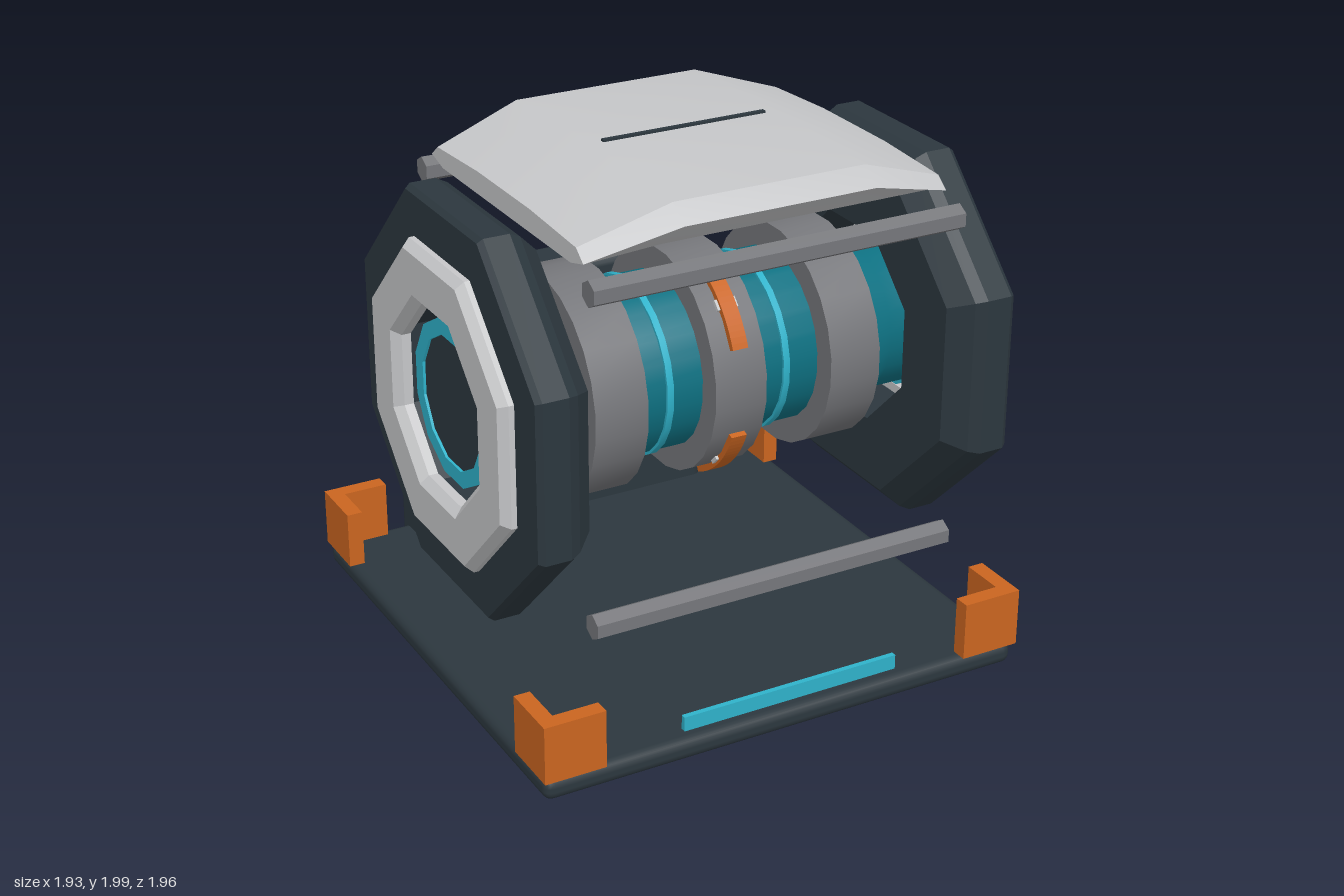
import * as THREE from 'three';
import { toCreasedNormals } from 'three/addons/utils/BufferGeometryUtils.js';
import { RoundedBoxGeometry } from 'three/addons/geometries/RoundedBoxGeometry.js';

const CY = 1.15, CZ = 0.2; // axis of the drum
const OCT = 1 / Math.cos(Math.PI / 8);

function material(name, color) {
  const m = new THREE.MeshStandardMaterial({ color });
  m.name = name;
  return m;
}

export function createModel() {
  const model = new THREE.Group();
  model.name = 'drumMachine';
  const dark = material('darkSlate', 0x2c373e);
  const light = material('lightGrey', 0xc6c7c9);
  const grey = material('midGrey', 0x76777b);
  const teal = material('teal', 0x0e7182);
  const cyan = material('cyan', 0x2fb2ca);
  const orange = material('orange', 0xca6520);

  function add(name, geometry, mat, x = 0, y = 0, z = 0) {
    const mesh = new THREE.Mesh(geometry, mat);
    mesh.name = name;
    mesh.position.set(x, y, z);
    model.add(mesh);
    return mesh;
  }
  const box = (name, mat, w, h, d, x, y, z) => add(name, new THREE.BoxGeometry(w, h, d), mat, x, y, z);

  // Turned part about the x axis; profile holds [radius, distance along x]
  function turned(name, mat, profile, sides, dir = 1, crease = 0.6) {
    const pts = profile.map(([r, x]) => new THREE.Vector2(r, x));
    const g = new THREE.LatheGeometry(pts, sides, Math.PI / sides);
    g.rotateZ(-dir * Math.PI / 2);
    return add(name, toCreasedNormals(g, crease), mat, 0, CY, CZ);
  }
  const octagonal = (name, mat, profile, dir) =>
    turned(name, mat, profile.map(([a, x]) => [a * OCT, x]), 8, dir, 0.3);
  const disc = (r, x0, x1) => [[0, x0], [r, x0], [r, x1], [0, x1]];

  // Base plate and back panel
  add('basePlate', new RoundedBoxGeometry(1.89, 0.085, 1.9, 2, 0.035), dark, 0, 0.0475, 0.02);
  add('backPanel', new RoundedBoxGeometry(1.24, 1.12, 0.23, 2, 0.035), dark, 0, 0.57, -0.865);
  box('frontLightBar', cyan, 0.85, 0.055, 0.02, 0, 0.165, 0.97);

  // L-shaped corner brackets
  for (const sx of [-1, 1]) {
    for (const [zEdge, sz] of [[0.98, 1], [-0.935, -1]]) {
      box('cornerBracketFace', orange, 0.23, 0.22, 0.06, sx * 0.837, 0.2, zEdge - sz * 0.03);
      box('cornerBracketSide', orange, 0.06, 0.22, 0.17, sx * 0.922, 0.2, zEdge - sz * 0.145);
    }
  }

  // Central drum with tapered ends
  turned('drumBody', teal,
    [[0, -0.87], [0.28, -0.87], [0.28, -0.69], [0.318, -0.6], [0.318, 0.6], [0.28, 0.69], [0.28, 0.87], [0, 0.87]], 24);
  for (const x of [-0.46, 0, 0.46]) turned('drumBand', grey, disc(0.41, x - 0.1, x + 0.1), 24);
  for (const x of [-0.23, 0.23]) turned('glowRing', cyan, disc(0.328, x - 0.0125, x + 0.0125), 24);

  // Curved clips on the middle band
  const arc = new THREE.Shape();
  arc.absarc(0, 0, 0.43, -0.393, 0.393, false);
  arc.absarc(0, 0, 0.4, 0.393, -0.393, true);
  const clipGeometry = new THREE.ExtrudeGeometry(arc, { depth: 0.06, bevelEnabled: false, curveSegments: 8 });
  clipGeometry.translate(0, 0, -0.03);
  clipGeometry.rotateY(-Math.PI / 2);
  for (let i = 0; i < 4; i++) {
    const angle = Math.PI / 4 + i * Math.PI / 2;
    const clip = add('bandClip', clipGeometry, orange, 0, CY, CZ);
    clip.rotation.x = -angle;
    const pin = box('clipPin', light, 0.08, 0.04, 0.03, 0, CY + 0.405 * Math.sin(angle), CZ + 0.405 * Math.cos(angle));
    pin.rotation.x = -angle;
  }

  // Octagonal end wheels, trim rings and hubs
  for (const dir of [-1, 1]) {
    octagonal('endWheel', dark,
      [[0.36, 0.69], [0.61, 0.69], [0.68, 0.76], [0.7, 0.8], [0.7, 0.895], [0.685, 0.915], [0.36, 0.915], [0.36, 0.69]], dir);
    octagonal('wheelTrim', light,
      [[0.325, 0.9], [0.535, 0.9], [0.535, 0.935], [0.508, 0.965], [0.357, 0.965], [0.325, 0.935], [0.325, 0.9]], dir);
    turned('hubRing', cyan,
      [[0.24, 0.86], [0.3, 0.86], [0.3, 0.9], [0.24, 0.9], [0.24, 0.86]], 12, dir, 0.3);
    turned('hubCap', dark, disc(0.242, 0.86, 0.89), 12, dir, 0.3);
  }

  // Hexagonal tie rods
  for (const y of [0.55, 1.75]) {
    for (const z of [0.84, -0.44]) {
      const g = new THREE.CylinderGeometry(0.047, 0.047, 1.4, 6);
      g.rotateY(Math.PI / 2);
      g.rotateZ(Math.PI / 2);
      add('tieRod', toCreasedNormals(g, 0.3), grey, 0, y, z);
    }
  }

  // Arched top cover lofted along x: [x, bottom half depth, tip half depth, tip y, top half depth, top edge y, crown y]
  const stations = [
    [-0.685, 0.49, 0.58, 1.825, 0.53, 1.865, 1.882],
    [-0.36, 0.49, 0.648, 1.915, 0.57, 1.972, 1.988],
    [0.36, 0.49, 0.648, 1.915, 0.57, 1.972, 1.988],
    [0.685, 0.49, 0.58, 1.825, 0.53, 1.865, 1.882],
  ];
  const verts = [], faces = [], N = 8;
  for (const [x, b, t, ty, u, uy, cy] of stations) {
    const ring = [[b, 1.8], [t, ty], [u, uy], [0.2, cy], [-0.2, cy], [-u, uy], [-t, ty], [-b, 1.8]];
    for (const [z, y] of ring) verts.push(x, y, z + CZ);
  }
  for (let i = 0; i < stations.length - 1; i++) {
    for (let j = 0; j < N; j++) {
      const a = i * N + j, c = i * N + (j + 1) % N;
      faces.push(a, a + N, c, a + N, c + N, c);
    }
  }
  const last = (stations.length - 1) * N;
  for (let k = 1; k < N - 1; k++) faces.push(0, k, k + 1, last, last + k + 1, last + k);
  const cover = new THREE.BufferGeometry();
  cover.setAttribute('position', new THREE.Float32BufferAttribute(verts, 3));
  cover.setIndex(faces);
  add('topCover', toCreasedNormals(cover, 0.5), light);
  box('coverSeam', dark, 0.63, 0.02, 0.018, 0, 1.986, CZ);

  return model;
}
